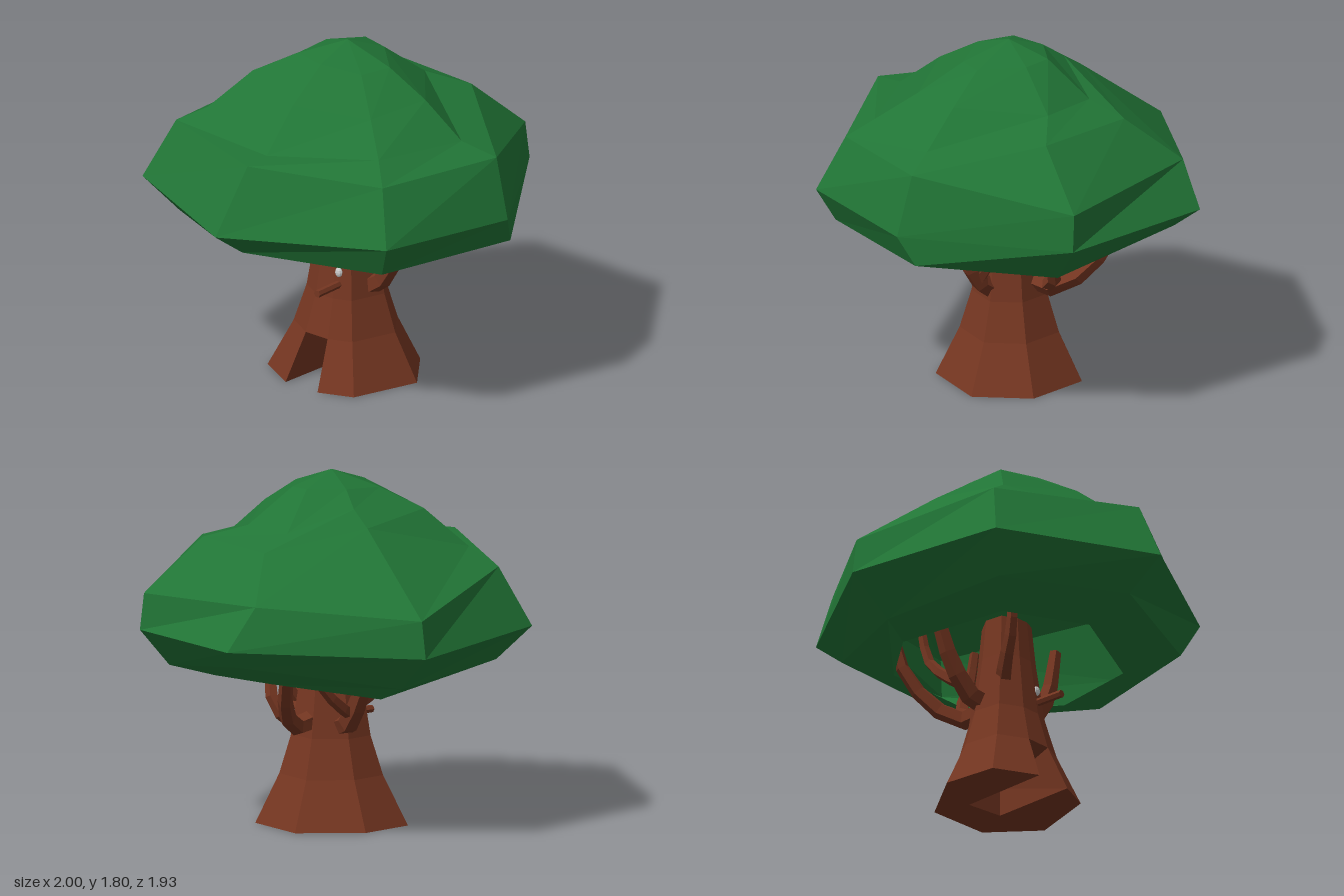
import * as THREE from 'three';

const material = (color) =>
  new THREE.MeshStandardMaterial({ color, flatShading: true, side: THREE.DoubleSide });
const bark = material(0x753621);
const leaf = material(0x217536);
const grey = material(0xcccccc);

// Skin rings of [x, y, z] points, listed bottom to top and counterclockwise from above
function loft(rings, closed = true) {
  const pos = [];
  for (let i = 0; i < rings.length - 1; i++) {
    const lo = rings[i], hi = rings[i + 1], n = lo.length;
    for (let j = 0; j < (closed ? n : n - 1); j++) {
      const k = (j + 1) % n;
      pos.push(...lo[j], ...lo[k], ...hi[k], ...lo[j], ...hi[k], ...hi[j]);
    }
  }
  const geo = new THREE.BufferGeometry();
  geo.setAttribute('position', new THREE.Float32BufferAttribute(pos, 3));
  geo.computeVertexNormals();
  return geo;
}

function add(parent, name, geo, mat) {
  const mesh = new THREE.Mesh(geo, mat);
  mesh.name = name;
  parent.add(mesh);
  return mesh;
}

// Tapered five-sided limb along a smooth path
function limb(points, r0, r1) {
  const curve = new THREE.CatmullRomCurve3(points.map((p) => new THREE.Vector3(...p)));
  const rows = 5, sides = 5;
  const geo = new THREE.TubeGeometry(curve, rows, 1, sides);
  const pos = geo.attributes.position, v = new THREE.Vector3();
  for (let i = 0; i < pos.count; i++) {
    const t = Math.floor(i / (sides + 1)) / rows;
    const c = curve.getPointAt(t);
    v.fromBufferAttribute(pos, i).sub(c).multiplyScalar(r0 + (r1 - r0) * t).add(c);
    pos.setXYZ(i, v.x, v.y, v.z);
  }
  geo.computeVertexNormals();
  return geo;
}

function buildCanopy(tree) {
  const rings = [
    // open lower rim
    [[-0.52, 0.81, 0], [-0.32, 0.77, 0.48], [0.18, 0.79, 0.6], [0.54, 0.76, 0.3],
      [0.6, 0.8, -0.22], [0.2, 0.73, -0.6], [-0.36, 0.77, -0.48]],
    [[-0.79, 0.9, 0], [-0.52, 0.88, 0.69], [0.22, 0.89, 0.91], [0.74, 0.82, 0.42],
      [0.88, 0.93, -0.3], [0.18, 0.8, -0.74], [-0.5, 0.86, -0.66]],
    // widest ring
    [[-1, 1.05, 0], [-0.58, 1.05, 0.77], [0.14, 1.04, 0.96], [0.89, 1.01, 0.47],
      [1, 1.03, -0.36], [0.21, 0.99, -0.97], [-0.61, 1.04, -0.81]],
    [[-0.81, 1.39, 0.05], [-0.48, 1.33, 0.66], [0.16, 1.35, 0.87], [0.88, 1.2, 0.45],
      [0.85, 1.25, -0.4], [0.21, 1.18, -0.94], [-0.49, 1.34, -0.69]],
  ];
  // crown, tapering to the apex
  rings.push(
    [[-0.66, 1.4, 0.05], [-0.38, 1.42, 0.55], [0.1, 1.41, 0.69], [0.59, 1.47, 0.34],
      [0.63, 1.47, -0.2], [0.14, 1.57, -0.42], [-0.42, 1.43, -0.54]],
    [[-0.42, 1.59, 0.02], [-0.24, 1.55, 0.38], [0.08, 1.58, 0.47], [0.44, 1.54, 0.16],
      [0.44, 1.54, -0.15], [0.13, 1.65, -0.3], [-0.26, 1.62, -0.38]],
    [[-0.18, 1.73, 0], [-0.1, 1.7, 0.2], [0.05, 1.71, 0.26], [0.22, 1.72, 0.08],
      [0.24, 1.73, -0.06], [0.09, 1.73, -0.19], [-0.12, 1.72, -0.2]],
    Array.from({ length: 7 }, () => [0.03, 1.8, 0]),
  );
  add(tree, 'canopy', loft(rings), leaf);
}

function buildTrunk(tree) {
  const trunk = new THREE.Group();
  trunk.name = 'trunk';
  tree.add(trunk);

  // Root outline; the gap between last and first point is the hollow's mouth
  const root = [[-0.3, 0.08], [-0.23, 0.26], [0.12, 0.38], [0.37, 0.19],
    [0.39, -0.15], [0.11, -0.37], [-0.18, -0.35], [-0.3, -0.13]];
  const ring = (y, s) => root.map(([x, z]) => [0.04 + (x - 0.04) * s, y, z * s]);
  const base = ring(0, 1), knee = ring(0.25, 0.68);
  add(trunk, 'roots', loft([base, knee], false), bark);
  add(trunk, 'trunkBody',
    loft([knee, ring(0.45, 0.52), ring(0.75, 0.4), ring(0.97, 0.34), ring(0.97, 0)]), bark);

  // Wedge-shaped hollow
  const low = [base[0], [0.17, 0, 0.1], [0.2, 0, -0.1], base[7]];
  const high = [knee[0], [0.17, 0.15, 0.1], [0.2, 0.15, -0.1], knee[7]];
  add(trunk, 'hollowWalls', loft([low, high], false), bark);
  add(trunk, 'hollowCeiling', loft([[high[0], high[1]], [high[3], high[2]]], false), bark);

  // Underside with the hollow cut out
  const outline = [...root, [0.2, -0.1], [0.17, 0.1]].map((p) => new THREE.Vector2(...p));
  add(trunk, 'underside',
    new THREE.ShapeGeometry(new THREE.Shape(outline)).rotateX(Math.PI / 2), bark);
}

function buildBranches(tree) {
  const branches = new THREE.Group();
  branches.name = 'branches';
  tree.add(branches);
  const list = [
    ['leftBranch', 0.055, 0.03,
      [[0.14, 0.54, -0.02], [0.3, 0.52, -0.04], [0.44, 0.63, -0.14], [0.52, 0.8, -0.24], [0.54, 0.95, -0.28]]],
    ['leftFork', 0.04, 0.025,
      [[0.28, 0.53, -0.02], [0.37, 0.62, 0.03], [0.36, 0.76, 0.08], [0.34, 0.95, 0.1]]],
    ['frontBranch', 0.055, 0.03,
      [[0.04, 0.49, 0.13], [0.04, 0.56, 0.23], [0.03, 0.68, 0.3], [0.03, 0.95, 0.36]]],
    ['frontFork', 0.032, 0.02,
      [[0.05, 0.58, 0.24], [0.12, 0.68, 0.25], [0.17, 0.8, 0.26], [0.19, 0.95, 0.27]]],
    ['backBranch', 0.06, 0.035,
      [[0.06, 0.5, -0.1], [0.09, 0.53, -0.2], [0.11, 0.66, -0.31], [0.12, 0.82, -0.39], [0.12, 0.97, -0.43]]],
    ['backFork', 0.035, 0.022,
      [[0.09, 0.58, -0.25], [0.2, 0.65, -0.27], [0.32, 0.77, -0.27], [0.36, 0.95, -0.28]]],
    ['rightBranch', 0.045, 0.025,
      [[-0.03, 0.6, -0.1], [-0.11, 0.68, -0.17], [-0.19, 0.79, -0.22], [-0.23, 0.95, -0.25]]],
  ];
  for (const [name, r0, r1, path] of list) add(branches, name, limb(path, r0, r1), bark);

  // Straight perch twig
  const twig = add(branches, 'twig', new THREE.CylinderGeometry(0.02, 0.02, 0.2, 6), bark);
  twig.rotation.z = Math.PI / 2;
  twig.position.set(-0.18, 0.525, 0.06);
}

export function createModel() {
  const tree = new THREE.Group();
  tree.name = 'tree';
  buildCanopy(tree);
  buildTrunk(tree);
  buildBranches(tree);

  // Small rounded stud above the twig
  const stud = add(tree, 'stud', new THREE.SphereGeometry(0.022, 8, 6), grey);
  stud.scale.set(0.7, 1.2, 1);
  stud.position.set(-0.11, 0.59, 0.06);
  return tree;
}
